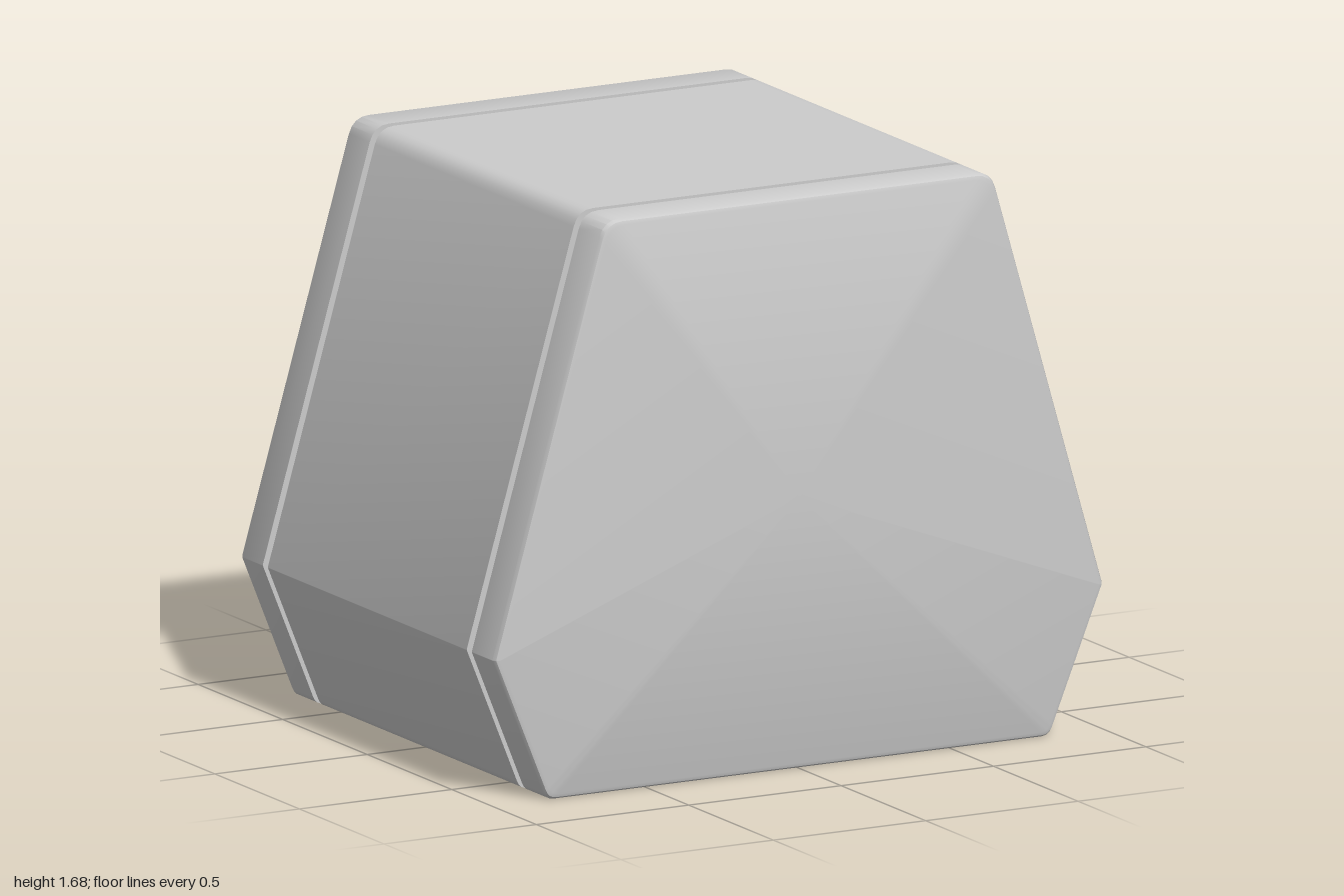
import * as THREE from 'three';
import { toCreasedNormals } from 'three/addons/utils/BufferGeometryUtils.js';

const WALL = 0.04, BODY_Z = 0.588, CAP_Z = 0.618;
const material = new THREE.MeshStandardMaterial({ color: 0xcccccc });

// Outline of the six-sided housing, counter-clockwise, with the cut of each corner
const CORNERS = [[-0.825, 0], [0.825, 0], [1, 0.43], [0.635, 1.685], [-0.635, 1.685], [-1, 0.43]]
  .map(([x, y]) => new THREE.Vector2(x, y));
const CUTS = [0.025, 0.025, 0.004, 0.05, 0.05, 0.004];

// Rounds every corner of a polygon, always with steps + 1 points per corner
function roundPolygon(corners, cuts, steps) {
  return corners.flatMap((c, i) => {
    const toward = (o) => c.clone().add(o.clone().sub(c).setLength(cuts[i]));
    const a = toward(corners.at(i - 1));
    const b = toward(corners[(i + 1) % corners.length]);
    return new THREE.QuadraticBezierCurve(a, c, b).getPoints(steps);
  });
}

// Moves every side of a polygon inward by d
function inset(corners, d) {
  return corners.map((c, i) => {
    const e1 = c.clone().sub(corners.at(i - 1)).normalize();
    const e2 = corners[(i + 1) % corners.length].clone().sub(c).normalize();
    const n1 = new THREE.Vector2(-e1.y, e1.x), n2 = new THREE.Vector2(-e2.y, e2.x);
    return c.clone().addScaledVector(n1.add(n2), d / (1 + e1.dot(e2)));
  });
}

const outline = (d) => roundPolygon(inset(CORNERS, d), CUTS, 4);
const ring = ([z, d]) => outline(d).map((p) => new THREE.Vector3(p.x, p.y, z));
const centre = (z) => outline(0).map(() => new THREE.Vector3(0, 0.8, z));

// Skins neighbouring closed rings; side number skip is left open
function loft(rings, skip = -1) {
  const pos = [];
  for (let r = 0; r < rings.length - 1; r++) {
    const A = rings[r], B = rings[r + 1];
    for (let i = 0; i < A.length; i++) {
      if (i === skip) continue;
      const j = (i + 1) % A.length;
      for (const [p, q, s] of [[A[i], B[i], B[j]], [A[i], B[j], A[j]]]) {
        if (p.equals(q) || q.equals(s) || s.equals(p)) continue;
        pos.push(...p.toArray(), ...q.toArray(), ...s.toArray());
      }
    }
  }
  const g = new THREE.BufferGeometry();
  g.setAttribute('position', new THREE.Float32BufferAttribute(pos, 3));
  return toCreasedNormals(g, 0.6);
}

export function createModel() {
  const model = new THREE.Group();
  const add = (name, geometry) => {
    const mesh = new THREE.Mesh(geometry, material);
    mesh.name = name;
    model.add(mesh);
    return mesh;
  };
  const mirror = (list) => list.map(([z, d]) => [-z, d]).reverse();

  // End caps with a soft rim, and the recessed seams behind them
  const cap = [[0.755, 0.016], [0.751, 0.006], [0.74, 0], [CAP_Z, 0], [CAP_Z, 0.02]];
  const seam = [[CAP_Z, 0.02], [BODY_Z, 0.02], [BODY_Z, 0]];
  add('frontCap', loft([centre(0.755), ...cap.map(ring)]));
  add('backCap', loft([...mirror(cap).map(ring), centre(-0.755)]));
  add('frontSeam', loft(seam.map(ring)));
  add('backSeam', loft(mirror(seam).map(ring)));

  // Hollow body, left open where the window wall goes
  const WINDOW_SIDE = 14;
  add('body', loft([[BODY_Z, 0], [-BODY_Z, 0]].map(ring), WINDOW_SIDE));
  add('bodyLining', loft([[-BODY_Z, WALL], [BODY_Z, WALL]].map(ring), WINDOW_SIDE));
  const lining = [[BODY_Z, WALL], [BODY_Z, 0.03], [CAP_Z, 0.03], [CAP_Z, WALL], [0.755 - WALL, WALL]];
  add('frontLining', loft([...lining.map(ring), centre(0.755 - WALL)]));
  add('backLining', loft([centre(WALL - 0.755), ...mirror(lining).map(ring)]));

  // Window wall: u runs up the slope, n points out of it
  const base = CORNERS[2];
  const slope = CORNERS[3].clone().sub(base).normalize();
  const u = new THREE.Vector3(slope.x, slope.y, 0);
  const n = new THREE.Vector3(slope.y, -slope.x, 0);
  const along = (y) => (y - base.y) / slope.y;
  const windowOutline = (grow) => {
    const w = 0.475 + grow, lo = along(1.123) - grow, hi = along(1.507) + grow;
    const corners = [[-w, lo], [w, lo], [w, hi], [-w, hi]].map(([x, y]) => new THREE.Vector2(x, y));
    return roundPolygon(corners, [0.07, 0.07, 0.07, 0.07], 3);
  };
  const panel = (name, depth, grow, zSign) => {
    const pts = outline(depth);
    const [lo, hi] = [pts[WINDOW_SIDE], pts[WINDOW_SIDE + 1]].map((p) => p.clone().sub(base).dot(slope));
    const shape = new THREE.Shape([[-BODY_Z, lo], [BODY_Z, lo], [BODY_Z, hi], [-BODY_Z, hi]]
      .map(([x, y]) => new THREE.Vector2(x, y)));
    shape.holes.push(new THREE.Path(windowOutline(grow)));
    const x = new THREE.Vector3(0, 0, zSign);
    const m = new THREE.Matrix4().makeBasis(x, u, x.clone().cross(u));
    m.setPosition(base.x - n.x * depth, base.y - n.y * depth, 0);
    add(name, new THREE.ShapeGeometry(shape).applyMatrix4(m));
  };
  panel('windowWall', 0, 0.014, -1);
  panel('windowWallLining', WALL, 0, 1);

  // Bevelled edge of the window opening
  const edge = (depth, grow) => windowOutline(grow).map((p) =>
    new THREE.Vector3(base.x, base.y, -p.x).addScaledVector(u, p.y).addScaledVector(n, -depth));
  add('windowEdge', loft([edge(WALL, 0), edge(0.014, 0), edge(0, 0.014)]));

  return model;
}
